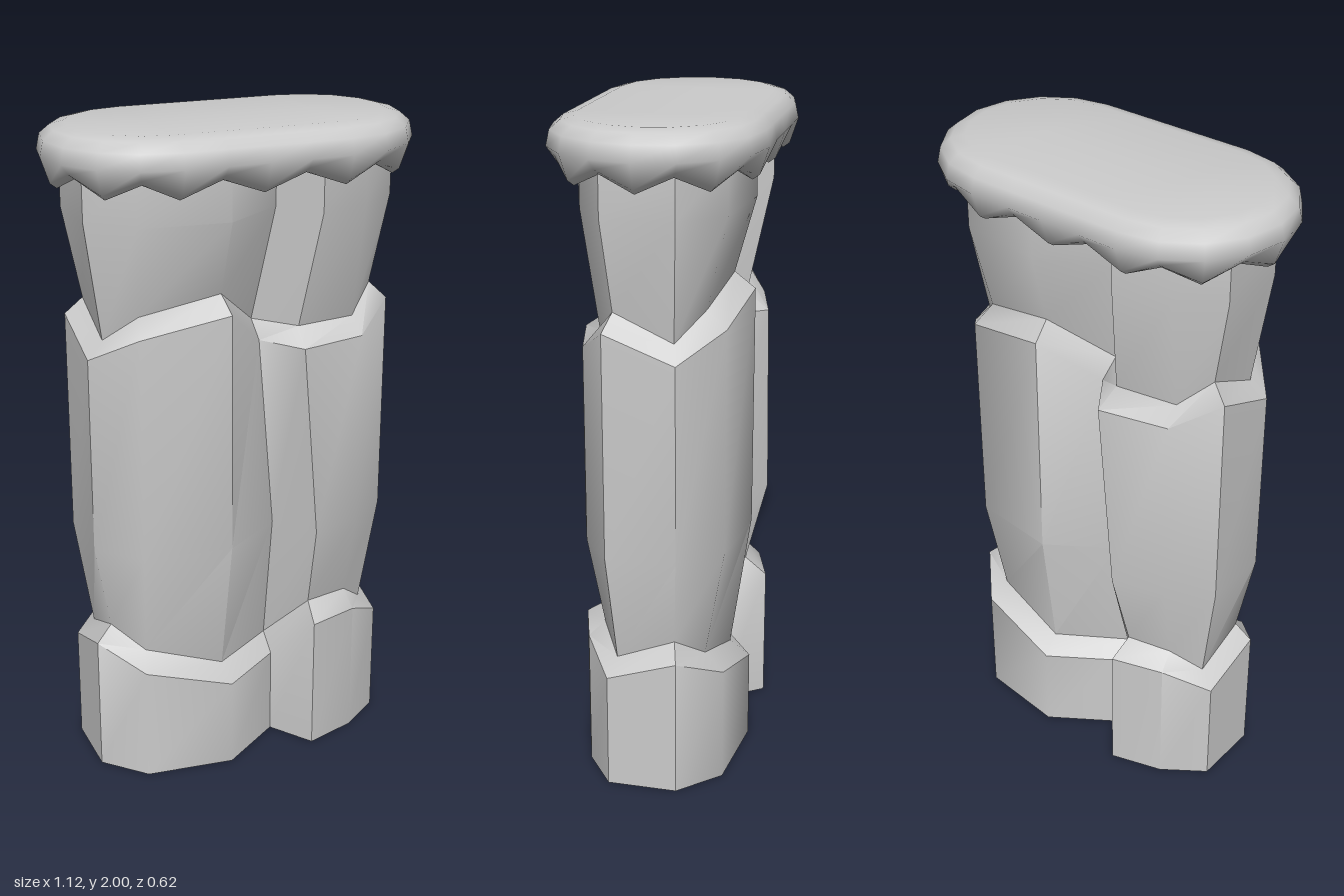
import * as THREE from 'three';
import { toCreasedNormals } from 'three/addons/utils/BufferGeometryUtils.js';

const material = new THREE.MeshStandardMaterial({ color: 0xcccccc, side: THREE.DoubleSide });

// Joins closed rings of [x, y, z] points, listed from bottom to top.
function loft(name, rings, crease) {
  const n = rings[0].length;
  const index = [];
  for (let r = 0; r < rings.length - 1; r++) {
    for (let i = 0; i < n; i++) {
      const a = r * n + i, b = r * n + (i + 1) % n;
      index.push(a, b, b + n, a, b + n, a + n);
    }
  }
  const geometry = new THREE.BufferGeometry();
  geometry.setAttribute('position', new THREE.Float32BufferAttribute(rings.flat(2), 3));
  geometry.setIndex(index);
  const mesh = new THREE.Mesh(toCreasedNormals(geometry, crease), material);
  mesh.name = name;
  return mesh;
}

// Front half of the plan: a wide lobe, a notch and a narrow lobe.
const full = [[-0.475, 0.1], [-0.36, 0.22], [-0.09, 0.25], [0.1, 0.12], [0.19, 0.25], [0.35, 0.2], [0.475, 0.11]];
const inset = [[-0.425, 0.085], [-0.34, 0.16], [-0.1, 0.19], [0.1, 0.06], [0.2, 0.18], [0.34, 0.15], [0.425, 0.09]];
// At the upper joint the notch leans sideways.
const lean = (plan) => plan.map(([x, z], i) => [i === 3 || i === 4 ? x - 0.05 : x, z]);

// Adds heights to the front half and turns it by 180 degrees for the back half.
function ring(plan, heights, lift = 0) {
  const half = plan.map(([x, z], i) => [x, (Array.isArray(heights) ? heights[i] : heights) + lift, z]);
  return [...half, ...half.map(([x, y, z]) => [-x, y, -z])];
}

// Cap outline: straight sides with eight-sided half-round ends.
function stadium(radius, y, scallop = 0) {
  const points = [];
  for (let end = 0; end < 2; end++) {
    const s = end ? -1 : 1;
    for (let i = -4; i <= 4; i++) {
      const a = i * Math.PI / 8;
      points.push([s * (0.25 + radius * Math.cos(a)), 0, -s * radius * Math.sin(a)]);
    }
    for (const x of [0.125, 0, -0.125]) points.push([s * x, 0, -s * radius]);
  }
  return points.map(([x, , z], i) => [x, y + (i % 2 ? scallop : 0), z]);
}

export function createModel() {
  const model = new THREE.Group();
  model.name = 'stonePillar';

  const lowRim = [0.43, 0.36, 0.28, 0.28, 0.43, 0.43, 0.36];
  const highRim = [1.35, 1.43, 1.48, 1.35, 1.35, 1.35, 1.43];

  // Three stacked tiers, each with a bevelled uneven rim
  const crease = 0.74;
  model.add(loft('baseTier', [ring(full, 0), ring(full, lowRim), ring(inset, lowRim, 0.05)], crease));
  model.add(loft('middleTier', [
    ring(inset, lowRim, 0.05), ring(full, 0.75), ring(lean(full), highRim), ring(lean(inset), highRim, 0.05),
  ], crease));
  model.add(loft('topTier', [ring(lean(inset), highRim, 0.05), ring(full, 1.75), ring(full, 1.9)], crease));

  // Rounded cap with a scalloped lower edge
  model.add(loft('cap', [
    stadium(0, 1.88), stadium(0.24, 1.88), stadium(0.265, 1.83, 0.045), stadium(0.285, 1.845, 0.045),
    stadium(0.31, 1.92), stadium(0.3, 1.965), stadium(0.27, 1.99), stadium(0.23, 2), stadium(0, 2),
  ], 1.1));

  return model;
}
